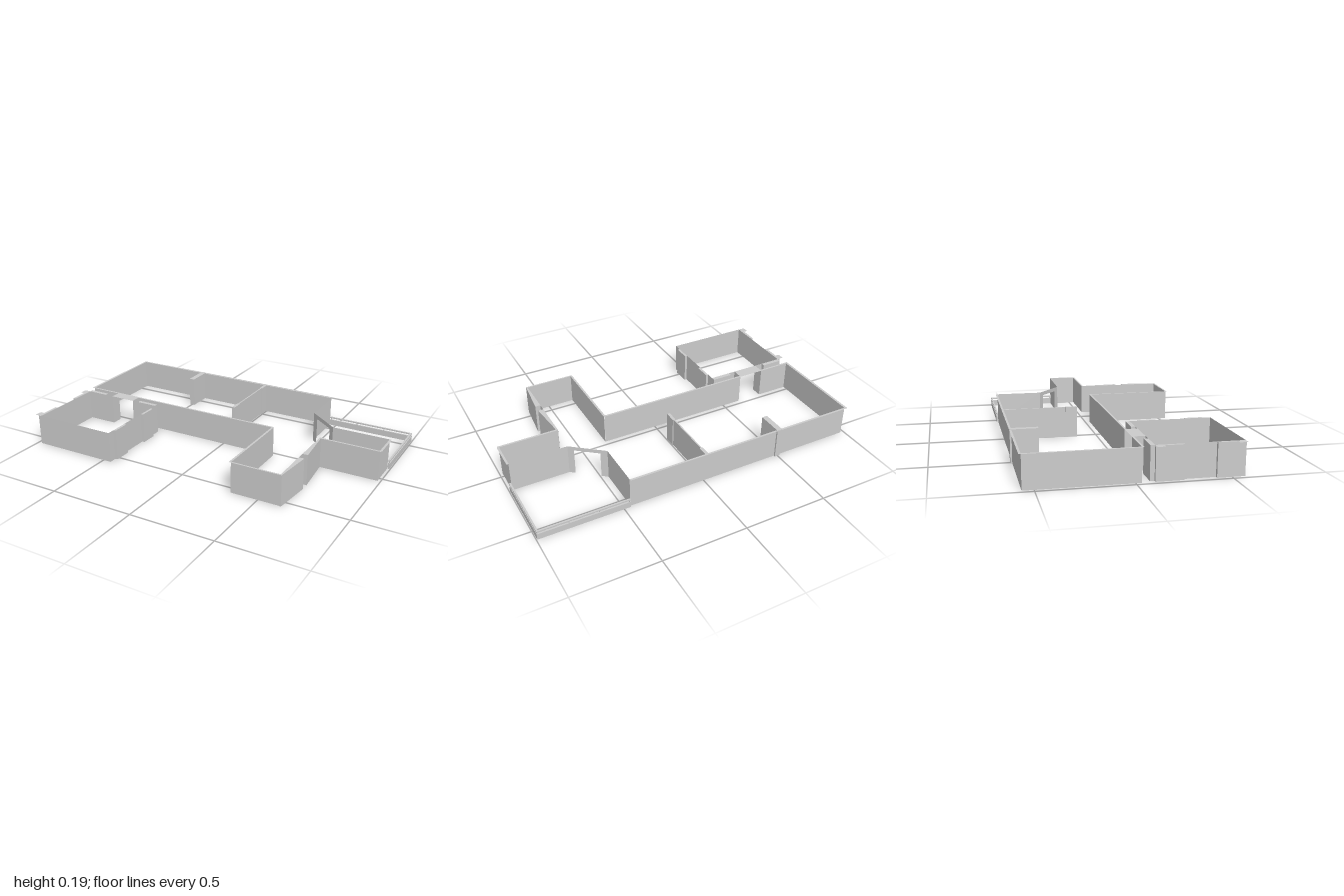
import * as THREE from 'three';

const H = 0.184;

export function createModel() {
  const group = new THREE.Group();
  const mat = new THREE.MeshStandardMaterial({ color: 0xcccccc, side: THREE.DoubleSide, flatShading: true });

  function add(name, geometry) {
    const mesh = new THREE.Mesh(geometry, mat);
    mesh.name = name;
    group.add(mesh);
    return mesh;
  }

  // thin upright wall between two plan points
  function wall(name, x1, z1, x2, z2, y0 = 0, y1 = H) {
    const m = add(name, new THREE.PlaneGeometry(Math.hypot(x2 - x1, z2 - z1), y1 - y0));
    m.position.set((x1 + x2) / 2, (y0 + y1) / 2, (z1 + z2) / 2);
    m.rotation.y = -Math.atan2(z2 - z1, x2 - x1);
    return m;
  }

  // block from plan corners and a height range
  function block(name, x1, x2, z1, z2, y0 = 0, y1 = H) {
    const m = add(name, new THREE.BoxGeometry(x2 - x1, y1 - y0, z2 - z1));
    m.position.set((x1 + x2) / 2, (y0 + y1) / 2, (z1 + z2) / 2);
    return m;
  }

  // flat coping on top of a wall
  function cap(x1, x2, z1, z2, name = 'wallCap') {
    const m = add(name, new THREE.PlaneGeometry(x2 - x1, z2 - z1));
    m.rotation.x = -Math.PI / 2;
    m.position.set((x1 + x2) / 2, H, (z1 + z2) / 2);
    return m;
  }

  // upright prism from plan points
  function prism(name, pts) {
    const shape = new THREE.Shape(pts.map(([x, z]) => new THREE.Vector2(x, -z)));
    const g = new THREE.ExtrudeGeometry(shape, { depth: H, bevelEnabled: false });
    g.rotateX(-Math.PI / 2);
    return add(name, g);
  }

  // main hall and front wing walls
  wall('backWall', -0.978, -0.56, 0.46, -0.56);
  wall('hallRightWall', -0.978, -0.56, -0.978, 0.03);
  wall('hallFrontWall', -0.978, 0.03, -0.78, 0.03);
  wall('hallFrontWall', -0.62, 0.03, 0.335, 0.03);
  wall('wingInnerWall', 0.338, 0.03, 0.338, 0.547);
  wall('wingFrontWall', 0.338, 0.547, 0.628, 0.547);
  wall('wingOuterWall', 0.628, 0.547, 0.628, 0.03);
  wall('cornerFrontWall', 0.628, 0.032, 0.982, 0.032);
  wall('cornerSideWall', 0.982, 0.032, 0.982, -0.138);

  // overhanging copings
  cap(-0.99, 0.46, -0.572, -0.56);
  cap(-0.99, -0.976, -0.56, 0.03);
  cap(-0.99, 0.34, 0.028, 0.04);
  cap(0.328, 0.34, 0.04, 0.543);
  cap(0.328, 0.637, 0.543, 0.553);
  cap(0.628, 0.99, 0.03, 0.042);
  cap(0.98, 0.993, -0.138, 0.03);

  // tapered piers on the wing
  prism('taperedPier', [[0.628, 0.035], [0.637, 0.035], [0.66, 0.272], [0.628, 0.272]]);
  prism('taperedPier', [[0.628, 0.32], [0.66, 0.32], [0.637, 0.55], [0.628, 0.55]]);

  // inner partition with thick ends, and a short pier
  block('partition', -0.017, -0.009, -0.56, -0.12);
  block('partitionEnd', -0.022, -0.004, -0.56, -0.5);
  block('partitionEnd', -0.022, -0.004, -0.19, -0.12);
  block('shortPier', -0.515, -0.482, -0.57, -0.415, 0, 0.186);

  // terrace walls with a diagonal doorway
  wall('terraceSideWall', 0.46, -0.56, 0.46, -0.282);
  wall('terraceFrontWall', 0.64, -0.138, 0.982, -0.138);
  const a = new THREE.Vector2(0.46, -0.282);
  const b = new THREE.Vector2(0.64, -0.138);
  const diagonal = (name, t0, t1, y0) => {
    const p = a.clone().lerp(b, t0), q = a.clone().lerp(b, t1);
    wall(name, p.x, p.y, q.x, q.y, y0, H);
  };
  diagonal('doorwayJamb', 0, 0.18, 0);
  diagonal('doorwayJamb', 0.84, 1, 0);
  diagonal('doorwayHead', 0.18, 0.84, 0.16);

  // terrace curb and low rail
  for (const [name, y0, y1] of [['terraceCurb', 0, 0.036], ['terraceRail', 0.046, 0.054]]) {
    block(name, 0.46, 0.995, -0.57, -0.56, y0, y1);
    block(name, 0.984, 0.995, -0.56, -0.138, y0, y1);
  }
  for (const x of [0.465, 0.64, 0.815]) block('railPost', x, x + 0.004, -0.567, -0.563, 0.036, 0.046);
  for (const z of [-0.565, -0.41, -0.225, -0.145]) block('railPost', 0.988, 0.992, z, z + 0.004, 0.036, 0.046);

  // small front room
  wall('roomFrontWall', -0.96, 0.57, -0.45, 0.57);
  wall('roomRightWall', -0.96, 0.1, -0.96, 0.57);
  wall('roomLeftWall', -0.45, 0.1, -0.45, 0.57);
  wall('roomBackWall', -0.96, 0.1, -0.78, 0.1);
  wall('roomBackWall', -0.62, 0.1, -0.45, 0.1);

  // passage from the room to the hall
  for (const x of [-0.78, -0.62]) wall('passageWall', x, 0.03, x, 0.1);
  cap(-0.78, -0.62, 0.03, 0.1, 'passageCeiling');

  // piers around the room
  block('roomBackPier', -0.96, -0.833, 0.076, 0.1);
  block('roomBackPier', -0.578, -0.45, 0.076, 0.1);
  block('roomRightPier', -0.976, -0.96, 0.1, 0.25);
  block('roomRightPier', -0.976, -0.96, 0.42, 0.57);
  block('roomLeftPier', -0.45, -0.435, 0.148, 0.25);
  block('roomLeftPier', -0.45, -0.435, 0.42, 0.523);
  cap(-1, -0.96, 0.1, 0.145, 'roomLedge');
  cap(-1, -0.96, 0.525, 0.57, 'roomLedge');

  return group;
}
